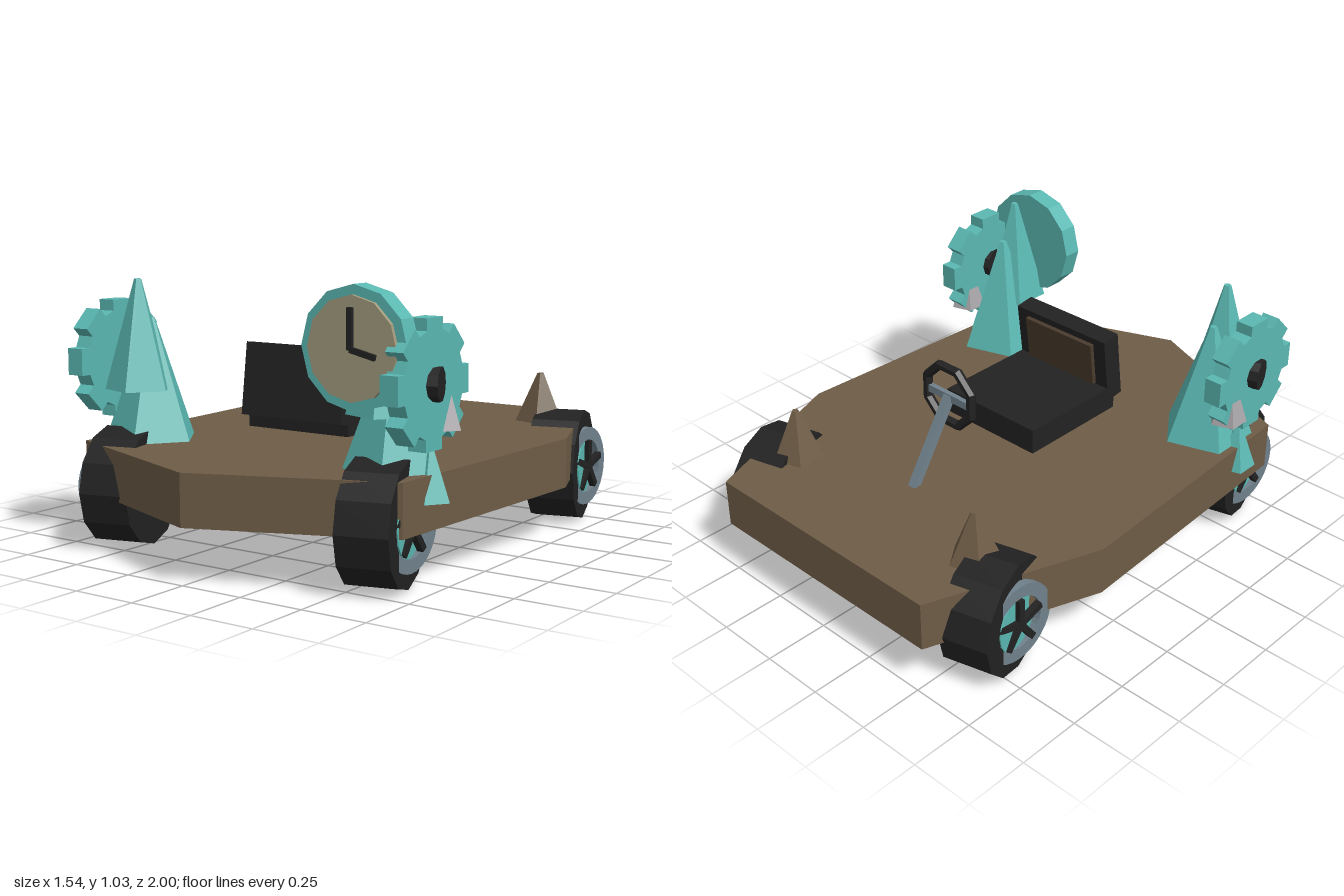
import * as THREE from 'three';

const mat = (name, color) => {
  const m = new THREE.MeshStandardMaterial({ color });
  m.name = name;
  return m;
};

export function createModel() {
  const brown = mat('wood brown', 0x6e5c46);
  const darkBrown = mat('dark brown', 0x4a3c2e);
  const black = mat('black', 0x222222);
  const teal = mat('teal', 0x5bb8b2);
  const steel = mat('steel grey', 0x70818c);
  const stone = mat('stone grey', 0xa7a4a7);
  const cream = mat('clock cream', 0xa39b7d);

  const model = new THREE.Group();
  model.name = 'kart';
  const CX = -0.005; // centre line of the kart

  // Faceted mesh helper
  const add = (parent, name, geo, material, x = 0, y = 0, z = 0) => {
    const g = geo.index ? geo.toNonIndexed() : geo;
    g.computeVertexNormals();
    const m = new THREE.Mesh(g, material);
    m.name = name;
    m.position.set(x, y, z);
    parent.add(m);
    return m;
  };
  const box = (w, h, d) => new THREE.BoxGeometry(w, h, d);
  // Disc with its axis along x
  const disc = (r, w, n) => new THREE.CylinderGeometry(r, r, w, n).rotateX(Math.PI / n).rotateZ(Math.PI / 2);
  // Five-sided spike standing on y0, one corner towards +x
  const spike = (name, material, r, y0, y1, x, z) =>
    add(model, name, new THREE.CylinderGeometry(0.014, r, y1 - y0, 5).rotateY(Math.PI / 2), material, x, (y0 + y1) / 2, z);

  // Chassis slab
  const outline = [[-0.525, -1], [0.525, -1], [0.765, -0.35], [0.71, 0.72], [0, 1], [-0.71, 0.72], [-0.765, -0.35]];
  const slab = new THREE.Shape(outline.map(([x, z]) => new THREE.Vector2(x, -z)));
  add(model, 'chassis', new THREE.ExtrudeGeometry(slab, { depth: 0.19, bevelEnabled: false }).rotateX(-Math.PI / 2),
    brown, CX, 0.2, 0);

  // Wheels
  for (const s of [-1, 1]) {
    for (const z of [-0.695, 0.63]) {
      const wheel = new THREE.Group();
      wheel.name = z > 0 ? 'frontWheel' : 'rearWheel';
      wheel.position.set(CX + s * 0.57, 0.222, z);
      model.add(wheel);
      add(wheel, 'tire', disc(0.222, 0.19, 12), black);
      const rimShape = new THREE.Shape().absarc(0, 0, 0.157, 0, Math.PI * 2);
      rimShape.holes.push(new THREE.Path().absarc(0, 0, 0.107, 0, Math.PI * 2, true));
      const rim = new THREE.ExtrudeGeometry(rimShape, { depth: 0.03, bevelEnabled: false, curveSegments: 16 });
      add(wheel, 'rim', rim.translate(0, 0, -0.015).rotateY(Math.PI / 2), steel, s * 0.105);
      add(wheel, 'hubDisc', disc(0.11, 0.02, 16), teal, s * 0.1);
      for (let i = 0; i < 5; i++) {
        const spoke = box(0.025, 0.105, 0.025).translate(0, 0.0525, 0).rotateX(i * Math.PI * 2 / 5);
        add(wheel, 'spoke', spoke, black, s * 0.12);
      }
    }
  }

  // Toothed gear outline with eight teeth
  const gearShape = new THREE.Shape();
  for (let i = 0; i < 8; i++) {
    const a = i * Math.PI / 4;
    const pts = [[0.18, -0.05], [0.222, -0.05], [0.222, 0.05], [0.18, 0.05]];
    pts.forEach(([r, t], k) => {
      const x = r * Math.cos(a) - t * Math.sin(a), y = r * Math.sin(a) + t * Math.cos(a);
      if (i + k === 0) gearShape.moveTo(x, y); else gearShape.lineTo(x, y);
    });
  }

  // Spires, gears and spikes on both sides
  for (const s of [-1, 1]) {
    const x = CX + s * 0.55;
    spike('lowerSpire', teal, 0.18, 0.39, 0.85, x, 0.52);
    spike('upperSpire', teal, 0.13, 0.585, 1.0, x, 0.59);
    spike('rearSpike', brown, 0.1, 0.39, 0.585, CX + s * 0.475, -0.69);
    spike('stoneSpike', stone, 0.073, 0.53, 0.71, CX + s * 0.695, 0.45);
    spike('sideSpike', teal, 0.078, 0.295, 0.47, CX + s * 0.695, 0.527);
    const gear = new THREE.ExtrudeGeometry(gearShape, { depth: 0.07, bevelEnabled: false });
    add(model, 'gear', gear.translate(0, 0, -0.035).rotateY(Math.PI / 2), teal, CX + s * 0.694, 0.695, 0.56);
    add(model, 'gearHub', disc(0.06, 0.1, 10), black, CX + s * 0.7, 0.695, 0.56);
  }

  // Clock
  const clock = new THREE.Group();
  clock.name = 'clock';
  clock.position.set(0.512, 0.815, 0.685);
  model.add(clock);
  const dial = (r, w) => new THREE.CylinderGeometry(r, r, w, 12).rotateX(Math.PI / 2);
  add(clock, 'clockCase', dial(0.212, 0.075), teal);
  add(clock, 'clockFace', dial(0.178, 0.02), cream, 0, 0, 0.042);
  add(clock, 'longHand', box(0.02, 0.14, 0.014), black, 0, 0.067, 0.058);
  add(clock, 'shortHand', box(0.1, 0.02, 0.014), black, 0.05, -0.012, 0.058).rotation.z = -0.22;

  // Seat
  add(model, 'seatCushion', box(0.455, 0.1, 0.47), black, -0.003, 0.49, 0.105);
  const back = new THREE.Group();
  back.name = 'seatBack';
  back.position.set(-0.003, 0.622, 0.328);
  back.rotation.x = -0.13;
  model.add(back);
  add(back, 'backrest', box(0.455, 0.275, 0.08), black);
  add(back, 'backPanel', box(0.34, 0.18, 0.02), darkBrown, 0, 0.02, -0.048);

  // Steering wheel and column
  const ring = new THREE.TorusGeometry(0.122, 0.019, 6, 8).rotateZ(Math.PI / 8);
  add(model, 'steeringWheel', ring, black, CX, 0.695, -0.34);
  add(model, 'steeringBar', box(0.22, 0.03, 0.02), steel, CX, 0.69, -0.34);
  const dy = 0.32, dz = 0.2;
  add(model, 'steeringColumn', box(0.034, Math.hypot(dy, dz), 0.03), steel, CX, 0.535, -0.44)
    .rotation.x = Math.atan2(dz, dy);

  return model;
}
